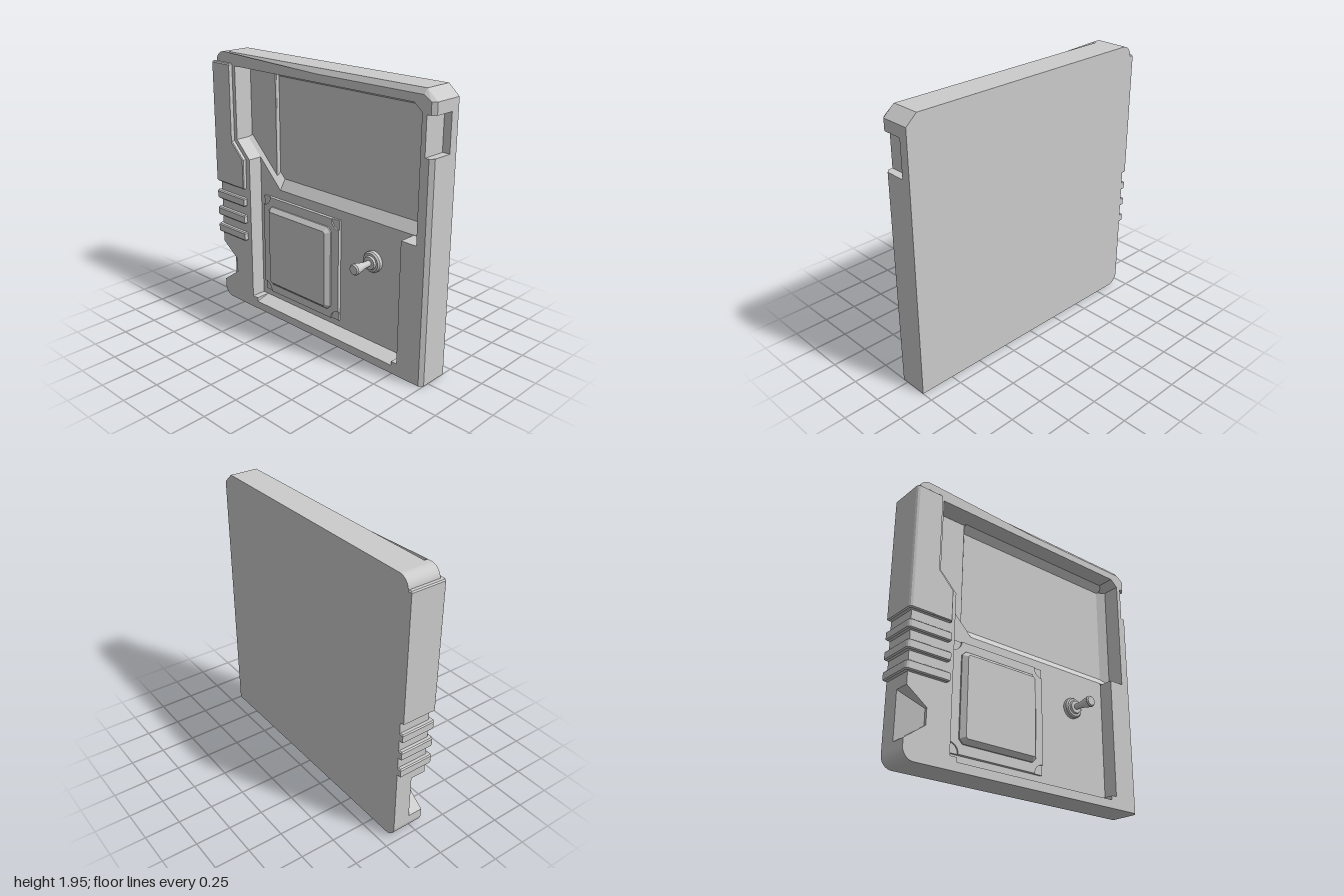
import * as THREE from 'three';

const BACK = -0.165, FLOOR = -0.1, PANEL = -0.04, FRONT = 0.07;

export function createModel() {
  const model = new THREE.Group();
  const material = new THREE.MeshStandardMaterial({ color: 0xcccccc });

  const add = (name, geometry) => {
    const mesh = new THREE.Mesh(geometry, material);
    mesh.name = name;
    model.add(mesh);
    return mesh;
  };
  const poly = (pts) => new THREE.Shape(pts.map(([x, y]) => new THREE.Vector2(x, y)));

  // Plate between two depths, with an optional chamfer on its front rim
  const plate = (shape, z0, z1, bevel = 0) => {
    const g = new THREE.ExtrudeGeometry(shape, {
      depth: z1 - z0 - bevel, bevelEnabled: bevel > 0, bevelThickness: bevel,
      bevelSize: bevel, bevelOffset: -bevel, bevelSegments: 1, curveSegments: 8,
    });
    return g.translate(0, 0, z0);
  };

  // Sloped strip along a to b, high at the edge and falling to its left
  const slope = (name, a, b, width, zHigh, zLow) => {
    const d = new THREE.Vector3(b[0] - a[0], b[1] - a[1], 0);
    const g = new THREE.ExtrudeGeometry(poly([[0, zLow], [width, zLow], [0, zHigh]]),
      { depth: d.length(), bevelEnabled: false });
    d.normalize();
    const n = new THREE.Vector3(-d.y, d.x, 0);
    const m = new THREE.Matrix4().makeBasis(n, new THREE.Vector3(0, 0, 1), d);
    m.setPosition(a[0], a[1], 0);
    add(name, g.applyMatrix4(m));
  };

  // Outline of the case, with or without the cut-outs in its sides
  const outline = (cuts) => {
    const s = new THREE.Shape();
    s.moveTo(-0.89, 0);
    s.lineTo(1, 0);
    if (cuts) [[1, 1.54], [0.945, 1.54], [0.945, 1.8], [1, 1.8]].forEach((p) => s.lineTo(...p));
    s.lineTo(1, 1.88);
    s.lineTo(0.92, 1.95);
    s.lineTo(-0.8, 1.95);
    s.lineTo(-0.86, 1.95);
    s.absarc(-0.89, 1.87, 0.08, Math.PI / 2, Math.PI, false);
    if (cuts) [[-0.97, 0.46], [-0.82, 0.35], [-0.82, 0.24], [-0.97, 0.13]].forEach((p) => s.lineTo(...p));
    s.absarc(-0.89, 0.08, 0.08, Math.PI, Math.PI * 1.5, false);
    return s;
  };

  add('backPlate', plate(outline(false), BACK, FLOOR));

  // Frame with one opening; its top and right front edges are chamfered
  const frameShape = outline(true);
  frameShape.holes.push(poly([
    [-0.77, 1.86], [0.85, 1.86], [0.91, 1.81], [0.91, 0.97], [0.79, 0.97], [0.79, 0.09],
    [0.745, 0.09], [0.745, 0.06], [-0.59, 0.06], [-0.59, 0.09], [-0.64, 0.09],
    [-0.64, 1.19], [-0.77, 1.32],
  ]));
  const depth = FRONT - FLOOR;
  const frame = new THREE.ExtrudeGeometry(frameShape,
    { depth, steps: 2, bevelEnabled: false, curveSegments: 8 });
  const p = frame.attributes.position;
  for (let i = 0; i < p.count; i++) {
    const z = p.getZ(i);
    if (z > depth * 0.9) {
      p.setX(i, Math.min(p.getX(i), 0.975));
      if (p.getX(i) > -0.84) p.setY(i, Math.min(p.getY(i), 1.915));
    } else if (z > depth * 0.1) p.setZ(i, depth - 0.027);
  }
  frame.computeVertexNormals();
  add('frame', frame.translate(0, 0, FLOOR));

  // Sloped grip scoop in the lower left edge
  const scoop = plate(poly([[-0.97, 0.13], [-0.82, 0.24], [-0.82, 0.35], [-0.97, 0.46]]), 0, 1);
  const q = scoop.attributes.position;
  for (let i = 0; i < q.count; i++) {
    const t = (q.getX(i) + 0.97) / 0.15;
    q.setZ(i, q.getZ(i) > 0.5 ? -0.04 + 0.09 * t : FLOOR);
  }
  scoop.computeVertexNormals();
  add('gripScoop', scoop);

  // Recessed floors
  add('controlPanel', plate(poly([[-0.64, 0.06], [0.79, 0.06], [0.79, 0.98], [-0.43, 0.98], [-0.64, 1.19]]), FLOOR, PANEL));
  add('screenSidePanel', plate(poly([[-0.77, 1.86], [-0.77, 1.32], [-0.49, 1.04], [-0.49, 1.86]]), FLOOR, -0.07, 0.008));

  // Sloped rims around the screen and the lower sill
  slope('screenRimBottom', [-0.46, 0.98], [0.91, 0.98], 0.07, PANEL, FLOOR);
  slope('screenRimRight', [0.91, 0.98], [0.91, 1.81], 0.06, -0.06, FLOOR);
  slope('screenRimTop', [0.87, 1.86], [-0.49, 1.86], 0.055, -0.06, FLOOR);
  slope('screenRimDiagonal', [-0.77, 1.32], [-0.43, 0.98], 0.04, PANEL, FLOOR);
  slope('lowerSill', [-0.59, 0.06], [0.745, 0.06], 0.03, FRONT, PANEL);

  // Side guards wrap round the left edge: an L section run along y
  const guard = (name, xEnd, y0, y1) => {
    const b = 0.008;
    const section = poly([[-1, -BACK], [-0.96, -BACK], [-0.96, -0.06], [xEnd, -0.06],
      [xEnd, -0.1], [-0.98, -0.1], [-0.993, -0.093], [-1, -0.08]]);
    const g = new THREE.ExtrudeGeometry(section, {
      depth: y1 - y0 - 2 * b, bevelEnabled: true, bevelThickness: b, bevelSize: b,
      bevelOffset: -b, bevelSegments: 1,
    });
    add(name, g.rotateX(-Math.PI / 2).translate(0, y0 + b, 0));
  };
  guard('upperGuard', -0.8, 0.96, 1.875);
  add('guardFoot', plate(poly([[-0.82, 0.96], [-0.68, 0.96], [-0.68, 1.185], [-0.8, 1.305], [-0.82, 1.305]]), 0.06, 0.1, 0.006));
  for (const y of [0.545, 0.683, 0.82]) guard('gripRib', -0.68, y, y + 0.065);

  // Button base, cut away by a quarter circle at each corner
  const cx = -0.205, cy = 0.5275, h = 0.383, r = 0.07;
  const base = new THREE.Shape();
  [[1, -1], [1, 1], [-1, 1], [-1, -1]].forEach(([sx, sy], i) => {
    const a = Math.PI + i * Math.PI / 2;
    base.absarc(cx + sx * h, cy + sy * h, r, a, a - Math.PI / 2, true);
  });
  add('buttonBase', plate(base, PANEL, -0.015));
  for (const sx of [-1, 1]) for (const sy of [-1, 1]) {
    const corner = add('baseCorner', new THREE.BoxGeometry(r, r, 0.015));
    corner.position.set(cx + sx * (h - r / 2), cy + sy * (h - r / 2), PANEL + 0.0075);
  }

  // Large square button with clipped corners and a broad chamfer
  const k = 0.315, c = 0.03;
  const button = poly([[-k + c, -k], [k - c, -k], [k, -k + c], [k, k - c],
    [k - c, k], [-k + c, k], [-k, k - c], [-k, -k + c]]);
  add('button', plate(button, -0.02, 0.025, 0.03).translate(cx, cy, 0));

  // Toggle switch: stepped collar and flared lever
  const turned = (name, pts) => {
    const g = new THREE.LatheGeometry(pts.map(([x, y]) => new THREE.Vector2(x, y)), 24);
    add(name, g.toNonIndexed().rotateX(Math.PI / 2).translate(0.48, 0.7, 0)).geometry.computeVertexNormals();
  };
  turned('toggleCollar', [[0.075, PANEL], [0.075, -0.015], [0.065, -0.003], [0.05, -0.003], [0.045, 0.012], [0, 0.012]]);
  turned('toggleLever', [[0.02, 0], [0.022, 0.06], [0.04, 0.145], [0.04, 0.155], [0.032, 0.165], [0, 0.165]]);

  return model;
}
